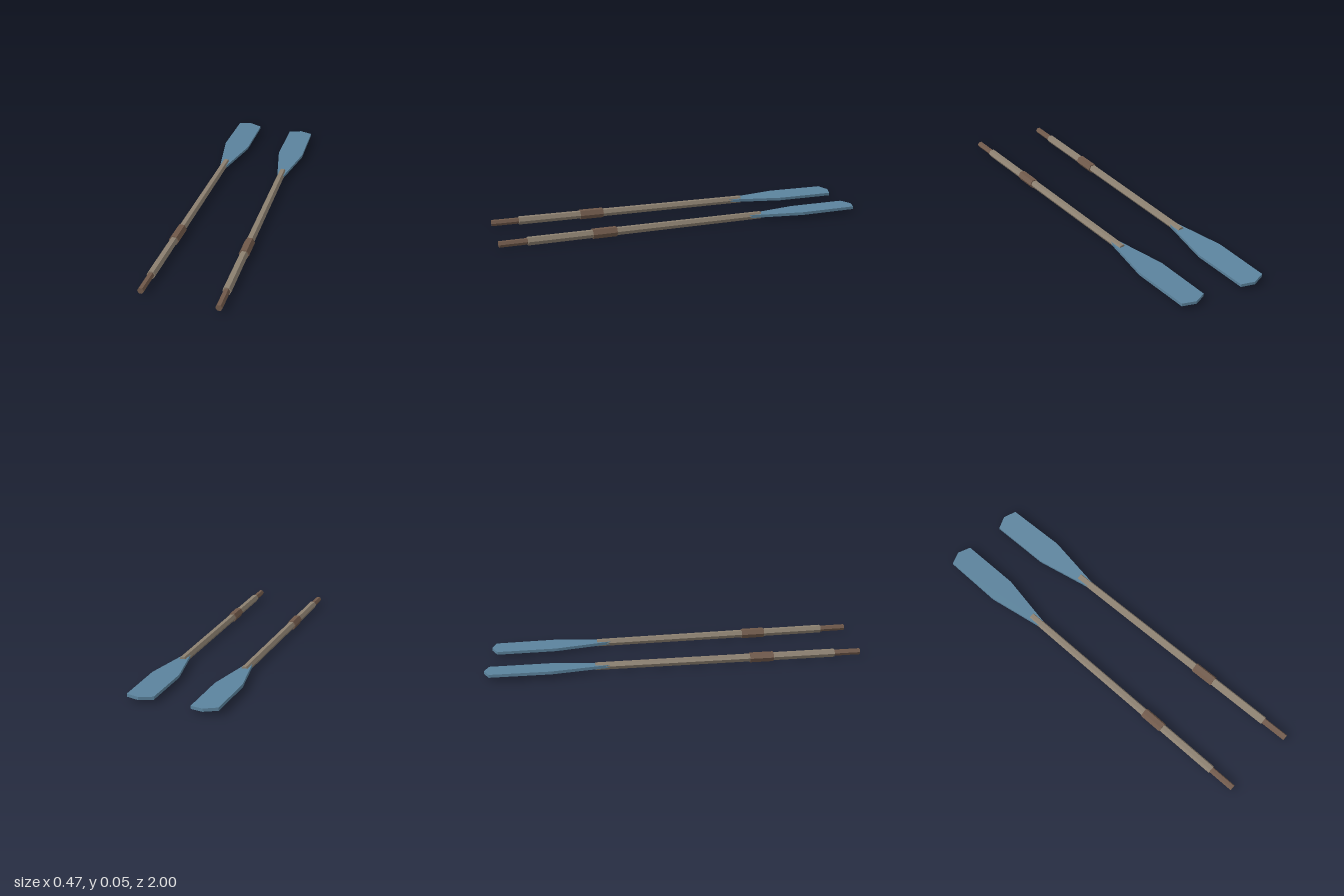
import * as THREE from 'three';

const material = (color) => new THREE.MeshStandardMaterial({ color, flatShading: true });
const shaftMat = material(0x8c8070);
const gripMat = material(0x70594a);
const bladeMat = material(0x5b839d);

// Six-sided rod along z, corners pointing sideways
function hexRod(name, mat, zBack, zFront, rBack, rFront = rBack) {
  const geo = new THREE.CylinderGeometry(rFront, rBack, zFront - zBack, 6, 1, false, Math.PI / 6);
  geo.rotateX(Math.PI / 2);
  geo.translate(0, 0, (zBack + zFront) / 2);
  const mesh = new THREE.Mesh(geo, mat);
  mesh.name = name;
  return mesh;
}

// Flat blade: half outline as [half width, distance towards the tip], mirrored
function makeBlade() {
  const half = [[0.013, 0.33], [0.069, 0.645], [0.066, 0.955]];
  const outline = [
    ...half,
    [0, 0.98],
    ...half.map(([x, y]) => [-x, y]).reverse(),
  ].map(([x, y]) => new THREE.Vector2(x, y));
  const depth = 0.015;
  const geo = new THREE.ExtrudeGeometry(new THREE.Shape(outline), { depth, bevelEnabled: false });
  geo.translate(0, 0, -depth / 2);
  geo.rotateX(-Math.PI / 2);
  const mesh = new THREE.Mesh(geo, bladeMat);
  mesh.name = 'blade';
  return mesh;
}

function makeOar(name) {
  const oar = new THREE.Group();
  oar.name = name;
  oar.add(
    hexRod('shaft', shaftMat, -0.42, 0.84, 0.02, 0.022),
    hexRod('collar', gripMat, 0.385, 0.51, 0.0265),
    hexRod('handle', gripMat, 0.83, 0.98, 0.0165),
    makeBlade(),
  );
  return oar;
}

export function createModel() {
  const model = new THREE.Group();
  model.name = 'pairOfOars';

  // Each oar lies flat with its own slight yaw; the right one is rolled a little
  const rightOar = makeOar('rightOar');
  rightOar.position.set(-0.1755, 0.0243, -0.02);
  rightOar.rotation.set(0, -0.0117, -0.065);

  const leftOar = makeOar('leftOar');
  leftOar.position.set(0.178, 0.0243, 0.02);
  leftOar.rotation.set(0, 0.0174, 0);

  model.add(rightOar, leftOar);
  return model;
}
